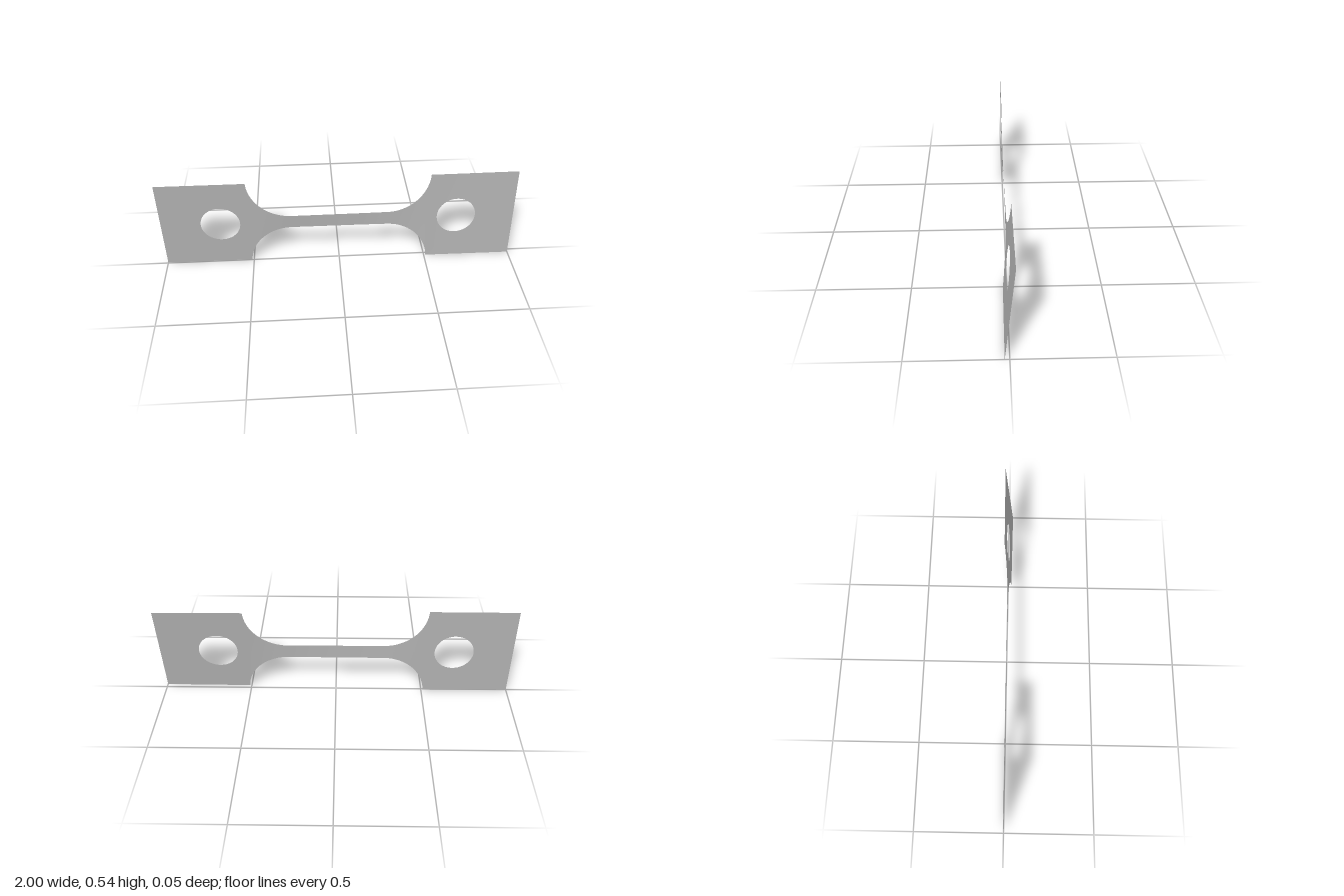
import * as THREE from 'three';

const MID = 0.271;       // height of the long axis
const HOLE_X = 0.668, HOLE_R = 0.11;
const FILLET_X = 0.27, FILLET_R = 0.24, FILLET_Y = 0.281;
const ROWS = 6;

// Sideways lean (dz/dy) of the twisted sheet along its length
const LEAN = [[-1, 0.01], [-0.5, 0.013], [-0.25, 0.045], [0.05, 0.018],
  [0.3, -0.03], [0.5, -0.077], [1, -0.087]];
function lean(x) {
  let i = 0;
  while (i < LEAN.length - 2 && x > LEAN[i + 1][0]) i++;
  const [a, b] = [LEAN[i], LEAN[i + 1]];
  return THREE.MathUtils.lerp(a[1], b[1], THREE.MathUtils.smoothstep(x, a[0], b[0]));
}

// Columns of the positive half: x, outer half-height and hole half-height
function halfColumns() {
  const cols = [];
  for (let i = 0; i < 8; i++) cols.push([FILLET_X * i / 8, FILLET_Y - FILLET_R, 0]);
  for (let i = 0; i <= 20; i++) { // rounded fillet
    const a = (i / 20) * (Math.PI / 2 - 0.042);
    cols.push([FILLET_X + FILLET_R * Math.sin(a), FILLET_Y - FILLET_R * Math.cos(a), 0]);
  }
  for (let i = 0; i <= 32; i++) { // round hole
    const a = Math.PI * i / 32;
    cols.push([HOLE_X - HOLE_R * Math.cos(a), MID, HOLE_R * Math.sin(a)]);
  }
  for (let i = 1; i <= 6; i++) {
    const start = HOLE_X + HOLE_R;
    cols.push([start + (1 - start) * i / 6, MID, 0]);
  }
  return cols;
}

// One strip of sheet, above (side 1) or below (side -1) the long axis
function stripGeometry(cols, side) {
  const pos = [], index = [];
  cols.forEach(([x, outer, inner], c) => {
    for (let r = 0; r <= ROWS; r++) {
      const t = r / ROWS;
      const d = side > 0 ? inner + (outer - inner) * t : -outer + (outer - inner) * t;
      pos.push(x, MID + d, lean(x) * d);
      if (c > 0 && r > 0) {
        const k = c * (ROWS + 1) + r, p = k - ROWS - 1;
        index.push(p - 1, k - 1, k, p - 1, k, p);
      }
    }
  });
  const geo = new THREE.BufferGeometry();
  geo.setAttribute('position', new THREE.Float32BufferAttribute(pos, 3));
  geo.setIndex(index);
  geo.computeVertexNormals();
  return geo;
}

export function createModel() {
  const group = new THREE.Group();
  group.name = 'twistedTestStrip';
  const steel = new THREE.MeshStandardMaterial({ color: 0xb0b0b0, side: THREE.DoubleSide });
  steel.name = 'steelGrey';

  const half = halfColumns();
  const mirrored = half.slice(1).reverse().map(([x, o, i]) => [-x, o, i]);
  const cols = [...mirrored, ...half];
  for (const [name, side] of [['upperSheet', 1], ['lowerSheet', -1]]) {
    const mesh = new THREE.Mesh(stripGeometry(cols, side), steel);
    mesh.name = name;
    group.add(mesh);
  }
  return group;
}
